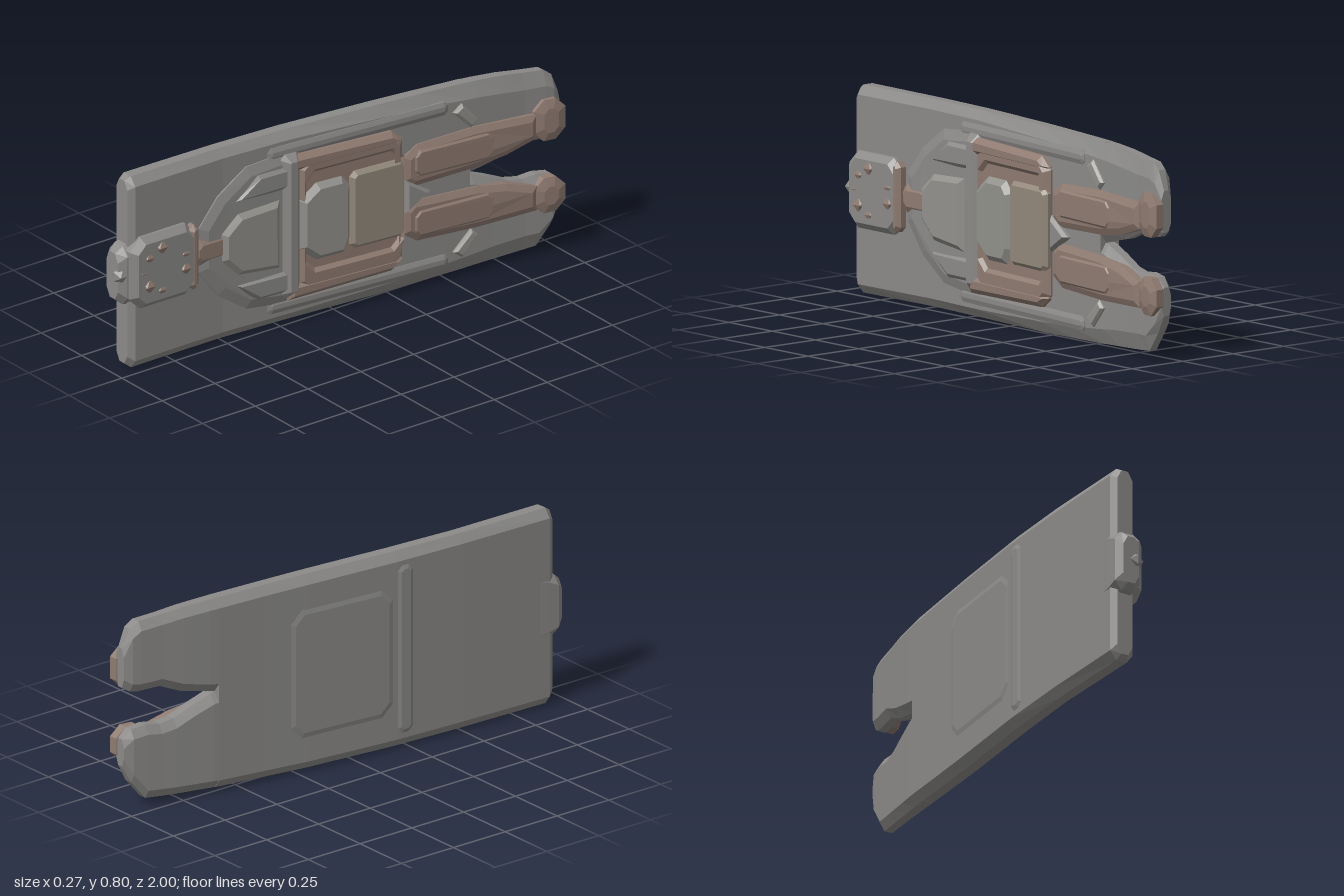
import * as THREE from 'three';

const STONE = 0x8b8a88, PALE = 0x92918c, BROWN = 0x8f7b71, TAN = 0x93887b;

// Gentle bend of the slab: middle x for each z
const BEND = [[1.05, -0.08], [0.5, -0.074], [0.2, -0.057], [-0.2, -0.02], [-0.6, 0.018], [-0.8, 0.044], [-1.05, 0.086]];
function bend(z) {
  for (let i = 0; i < BEND.length - 1; i++) {
    const [z0, x0] = BEND[i], [z1, x1] = BEND[i + 1];
    if (z >= z1) return x0 + (x1 - x0) * (z0 - z) / (z0 - z1);
  }
  return BEND[BEND.length - 1][1];
}
const HALF = 0.047;

function mesh(name, geometry, color) {
  const m = new THREE.Mesh(geometry, new THREE.MeshStandardMaterial({ color, flatShading: true }));
  m.name = name;
  return m;
}

// Loft of chamfered rectangles, from front to back;
// stations are [z, yLow, yHigh, halfThickness, low chamfer, high chamfer] with the chamfers on the carved side
function loft(name, stations, color) {
  const pos = [], index = [], n = 8, c = 0.035;
  for (const [z, lo, hi, t, cLo = c, cHi = c] of stations) {
    const k = t * 0.45, x = bend(z);
    const ring = [[k, lo], [t, lo + cLo], [t, hi - cHi], [k, hi], [-k, hi], [-t, hi - c], [-t, lo + c], [-k, lo]];
    for (const [dx, y] of ring) pos.push(x + dx, y, z);
  }
  for (let s = 0; s < stations.length - 1; s++) {
    for (let i = 0; i < n; i++) {
      const a = s * n + i, b = s * n + (i + 1) % n;
      index.push(a, a + n, b, b, a + n, b + n);
    }
  }
  const last = (stations.length - 1) * n;
  for (let i = 1; i < n - 1; i++) {
    index.push(0, i, i + 1);
    index.push(last, last + i + 1, last + i);
  }
  const g = new THREE.BufferGeometry();
  g.setAttribute('position', new THREE.Float32BufferAttribute(pos, 3));
  g.setIndex(index);
  g.computeVertexNormals();
  return mesh(name, g, color);
}

// Raised bevelled plate on the carved (+x) face, or the rear face; outline points are [z, y]
function plate(name, points, height, color, { bevel = 0.02, hole = null, back = false } = {}) {
  const to2 = (p) => new THREE.Vector2(-p[0], p[1]);
  const shape = new THREE.Shape(points.map(to2));
  if (hole) shape.holes.push(new THREE.Path(hole.map(to2)));
  const thick = Math.min(height * 0.7, bevel);
  const g = new THREE.ExtrudeGeometry(shape, {
    depth: 0.03 + height - thick, bevelEnabled: true, bevelSegments: 1,
    bevelThickness: thick, bevelSize: bevel, bevelOffset: -bevel,
  });
  g.rotateY(Math.PI / 2);
  const p = g.attributes.position;
  const shift = back ? -HALF - height + thick : HALF - 0.03;
  for (let i = 0; i < p.count; i++) p.setX(i, p.getX(i) + bend(p.getZ(i)) + shift);
  g.computeVertexNormals();
  return mesh(name, g, color);
}

// Rough faceted lump
function lump(name, radius, x, y, z, color) {
  const m = mesh(name, new THREE.IcosahedronGeometry(radius, 0), color);
  m.position.set(x, y, z);
  return m;
}

const rect = (z0, z1, y0, y1, c = 0.02) => [
  [z0, y0 + c], [z0 - c, y0], [z1 + c, y0], [z1, y0 + c],
  [z1, y1 - c], [z1 + c, y1], [z0 - c, y1], [z0, y1 - c]];
// Reflects an outline across the long centre line
const flip = (pts) => pts.map(([z, y]) => [z, 0.8 - y]).reverse();

export function createModel() {
  const model = new THREE.Group();
  model.name = 'carvedSlab';

  // Slab and the two lobes at its back end
  model.add(loft('slab', [
    [0.94, 0.02, 0.78, 0.034], [0.915, 0, 0.795, 0.05], [0.5, 0.002, 0.795, 0.046], [0.2, 0.002, 0.795, 0.049],
    [-0.2, 0.004, 0.793, 0.049, 0.045, 0.045], [-0.4, 0.01, 0.79, 0.047, 0.05, 0.05],
    [-0.6, 0.016, 0.786, 0.046, 0.06, 0.06],
  ], STONE));
  model.add(loft('upperLobe', [
    [-0.55, 0.4, 0.787, 0.046, 0.035, 0.06], [-0.64, 0.415, 0.784, 0.045, 0.035, 0.06],
    [-0.75, 0.44, 0.778, 0.042, 0.035, 0.065], [-0.84, 0.478, 0.768, 0.038, 0.03, 0.065],
    [-0.93, 0.475, 0.76, 0.038, 0.03, 0.06], [-0.965, 0.48, 0.735, 0.036, 0.03, 0.05], [-0.995, 0.5, 0.66, 0.024],
  ], STONE));
  model.add(loft('lowerLobe', [
    [-0.55, 0.014, 0.41, 0.046, 0.06], [-0.62, 0.018, 0.4, 0.045, 0.06], [-0.7, 0.022, 0.37, 0.042, 0.065],
    [-0.78, 0.026, 0.335, 0.04, 0.065], [-0.84, 0.03, 0.325, 0.038, 0.065], [-0.9, 0.035, 0.333, 0.038, 0.06],
    [-0.96, 0.11, 0.325, 0.036], [-0.995, 0.18, 0.29, 0.024],
  ], STONE));

  // Head: blunt block projecting past the front edge, with a framed face
  model.add(loft('head', [
    [0.985, 0.3, 0.49, 0.035], [0.955, 0.275, 0.515, 0.055],
    [0.9, 0.26, 0.54, 0.052], [0.8, 0.26, 0.55, 0.044],
  ], STONE));
  model.add(lump('headTip', 0.035, -0.055, 0.4, 0.967, STONE));
  model.add(plate('faceFrame', rect(0.95, 0.64, 0.255, 0.55, 0.05), 0.038, STONE,
    { hole: rect(0.9, 0.7, 0.31, 0.5, 0.04), bevel: 0.025 }));
  model.add(plate('face', rect(0.92, 0.68, 0.28, 0.53, 0.04), 0.018, BROWN));
  for (let i = 0; i < 9; i++) {
    const a = i * Math.PI * 2 / 9;
    model.add(lump('faceLump', 0.026 + 0.005 * (i % 3), -0.014, 0.405 + 0.09 * Math.sin(a), 0.795 + 0.1 * Math.cos(a), BROWN));
  }
  model.add(plate('neckBar', rect(0.68, 0.635, 0.27, 0.54), 0.04, BROWN, { bevel: 0.015 }));

  // Neck, shoulders and chest
  model.add(plate('neck', rect(0.65, 0.48, 0.35, 0.46, 0.03), 0.022, BROWN, { bevel: 0.025 }));
  model.add(plate('shoulders', [
    [0.62, 0.32], [0.53, 0.2], [0.4, 0.11], [0.15, 0.08], [0.15, 0.72], [0.4, 0.7], [0.53, 0.61], [0.62, 0.5],
  ], 0.018, STONE, { bevel: 0.04 }));
  model.add(plate('chest', [
    [0.53, 0.34], [0.45, 0.26], [0.25, 0.24], [0.25, 0.54], [0.45, 0.53], [0.53, 0.46],
  ], 0.036, PALE, { bevel: 0.03 }));
  model.add(plate('collar', rect(0.25, 0.16, 0.11, 0.71), 0.04, STONE, { bevel: 0.03 }));

  // Torso with its frame, waist plate and brown panel
  model.add(plate('torsoFrame', rect(0.18, -0.29, 0.11, 0.69, 0.05), 0.034, BROWN,
    { hole: rect(0.13, -0.26, 0.22, 0.6, 0.03), bevel: 0.025 }));
  model.add(plate('torsoBase', rect(0.17, -0.28, 0.18, 0.64), 0.02, BROWN));
  model.add(plate('waistPlate', [
    [0.18, 0.3], [0.1, 0.235], [-0.03, 0.235], [-0.06, 0.3], [-0.06, 0.52], [-0.02, 0.57], [0.1, 0.57], [0.18, 0.51],
  ], 0.042, PALE, { bevel: 0.03 }));
  model.add(plate('bellyPanel', rect(-0.05, -0.29, 0.25, 0.57), 0.04, TAN, { bevel: 0.015 }));
  model.add(plate('crotch', [[-0.3, 0.33], [-0.41, 0.4], [-0.3, 0.47]], 0.03, STONE, { bevel: 0.015 }));

  // Arms and legs, mirrored about the long centre line
  const pad = [[0.47, 0.57], [0.2, 0.56], [0.2, 0.67], [0.36, 0.67]];
  const arm = [[0.22, 0.63], [-0.24, 0.63], [-0.29, 0.65], [-0.24, 0.69], [0.22, 0.7]];
  const leg = [[-0.3, 0.46], [-0.34, 0.43], [-0.62, 0.44], [-0.75, 0.46], [-0.88, 0.5], [-0.88, 0.6], [-0.62, 0.61], [-0.36, 0.6], [-0.3, 0.56]];
  const cuff = [[-0.52, 0.69], [-0.6, 0.61], [-0.63, 0.64], [-0.56, 0.72]];
  for (const [side, f] of [['upper', (p) => p], ['lower', flip]]) {
    model.add(plate(side + 'ShoulderPad', f(pad), 0.03, STONE, { bevel: 0.025 }));
    model.add(plate(side + 'Arm', f(arm), 0.036, BROWN));
    model.add(plate(side + 'Leg', f(leg), 0.018, BROWN, { bevel: 0.025 }));
    model.add(plate(side + 'Thigh', f(rect(-0.33, -0.7, 0.46, 0.59, 0.03)), 0.024, BROWN));
    model.add(plate(side + 'Cuff', f(cuff), 0.015, PALE, { bevel: 0.01 }));
    model.add(plate(side + 'Ridge', f(rect(0.3, -0.5, 0.69, 0.745, 0.015)), 0.01, STONE, { bevel: 0.018 }));
  }

  // Feet: knobs standing out at the back end
  model.add(plate('upperFoot', rect(-0.87, -1.0, 0.48, 0.65, 0.04), 0.017, BROWN, { bevel: 0.035 }));
  model.add(plate('lowerFoot', rect(-0.87, -1.0, 0.18, 0.325, 0.04), 0.017, BROWN, { bevel: 0.035 }));

  // Shallow steps on the plain rear face
  model.add(plate('rearBand', rect(0.27, 0.2, 0.06, 0.74), 0.008, STONE, { bevel: 0.015, back: true }));
  model.add(plate('rearPanel', rect(0.18, -0.28, 0.14, 0.66, 0.05), 0.006, STONE, { back: true }));

  return model;
}
